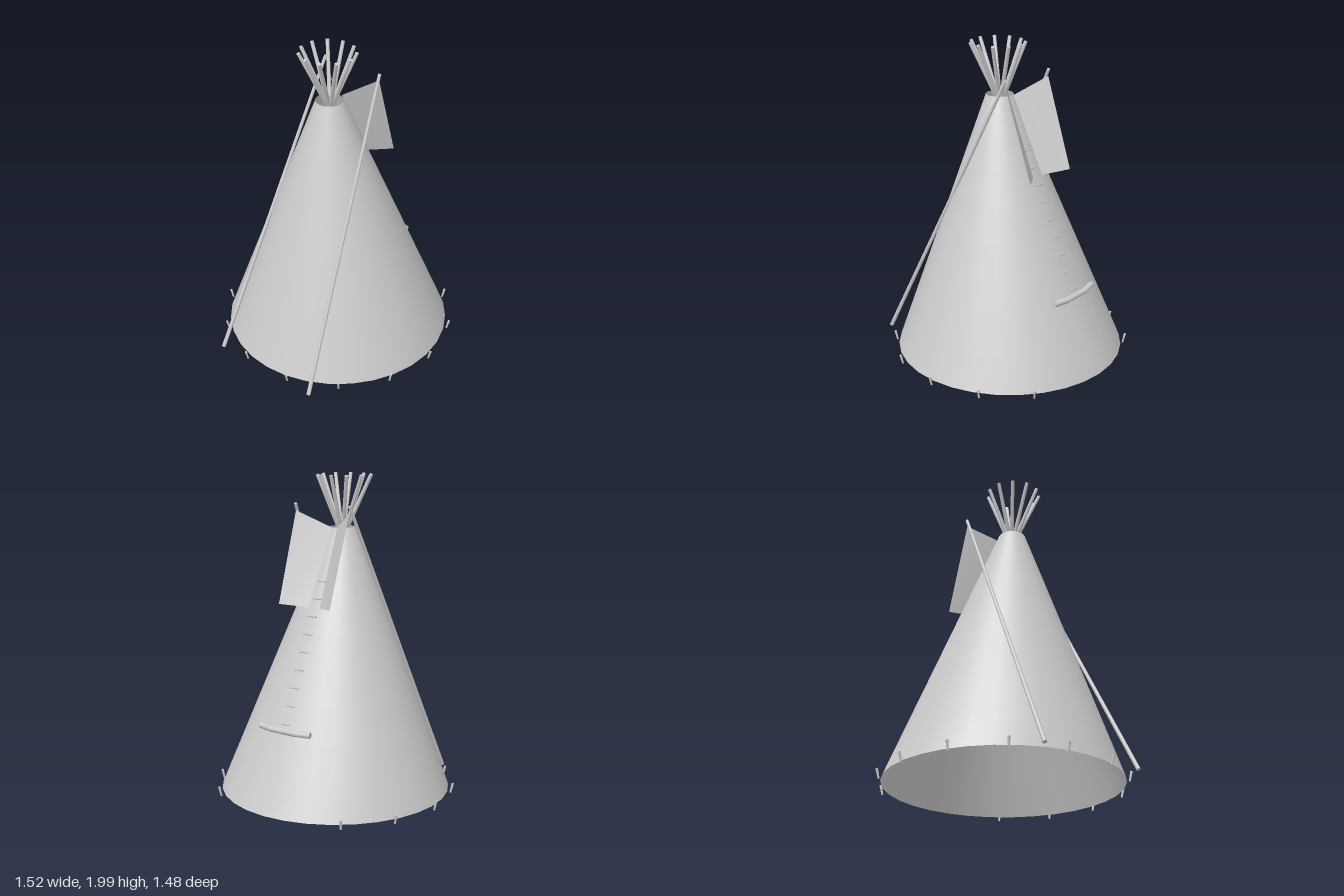
import * as THREE from 'three';
import { mergeVertices } from 'three/addons/utils/BufferGeometryUtils.js';

const grey = new THREE.MeshStandardMaterial({ color: 0xcccccc });
const cloth = new THREE.MeshStandardMaterial({ color: 0xcccccc, side: THREE.DoubleSide });

// Leaning cone of the cover
const Y0 = 0.025, Y1 = 1.67, R0 = 0.725, R1 = 0.085, Z0 = -0.015, Z1 = 0.067;
const coneAt = (y) => {
  const t = (y - Y0) / (Y1 - Y0);
  return { r: R0 + (R1 - R0) * t, z: Z0 + (Z1 - Z0) * t };
};
// z of the back of the cover at a given x and height
const backZ = (x, y) => {
  const { r, z } = coneAt(y);
  return z - Math.sqrt(r * r - x * x);
};

const v = (x, y, z) => new THREE.Vector3(x, y, z);

function add(parent, name, geometry, material = grey) {
  const mesh = new THREE.Mesh(geometry, material);
  mesh.name = name;
  parent.add(mesh);
  return mesh;
}

// Straight round stick between two points
function stick(parent, name, a, b, rTop, rBottom = rTop, sides = 8) {
  const mesh = add(parent, name, new THREE.CylinderGeometry(rTop, rBottom, a.distanceTo(b), sides));
  mesh.position.copy(a).lerp(b, 0.5);
  mesh.quaternion.setFromUnitVectors(v(0, 1, 0), b.clone().sub(a).normalize());
  return mesh;
}

function coverGeometry() {
  const g = new THREE.CylinderGeometry(R1, R0, Y1 - Y0, 32, 8, true);
  g.translate(0, (Y0 + Y1) / 2, 0);
  const p = g.attributes.position;
  for (let i = 0; i < p.count; i++) p.setZ(i, p.getZ(i) + coneAt(p.getY(i)).z);
  g.deleteAttribute('uv');
  g.deleteAttribute('normal');
  const merged = mergeVertices(g);
  merged.computeVertexNormals();
  return merged;
}

// Oval laid onto the back of the cover
function doorGeometry() {
  const g = new THREE.RingGeometry(0.001, 1, 32, 6);
  const p = g.attributes.position;
  for (let i = 0; i < p.count; i++) {
    const x = -p.getX(i) * 0.15, y = 0.27 + p.getY(i) * 0.235;
    p.setXYZ(i, x, y, backZ(x, y) - 0.006);
  }
  g.computeVertexNormals();
  return g;
}

function flapGeometry(s) {
  const g = new THREE.BufferGeometry().setFromPoints([
    v(s * 0.02, 1.67, -0.025), v(s * 0.2, 1.775, -0.15),
    v(s * 0.192, 1.22, -0.335), v(s * 0.042, 1.2, -0.235),
  ]);
  g.setIndex(s > 0 ? [0, 1, 2, 0, 2, 3] : [0, 2, 1, 0, 3, 2]);
  g.computeVertexNormals();
  return g;
}

export function createModel() {
  const model = new THREE.Group();
  model.name = 'tent';
  add(model, 'cover', coverGeometry(), cloth);
  add(model, 'door', doorGeometry(), cloth);

  // Pole tips fanning out of the smoke hole
  const poles = new THREE.Group();
  poles.name = 'poles';
  model.add(poles);
  for (let i = 0; i < 11; i++) {
    const a = (i / 11) * Math.PI * 2 + 0.03;
    const tip = v(Math.cos(a) * 0.17, 1.99, 0.083 + Math.sin(a) * 0.17);
    stick(poles, 'pole', v(0, 1.6, 0.062), tip, 0.011, 0.013);
  }

  // Smoke flaps and the long poles that hold them
  for (const s of [1, -1]) {
    const side = s > 0 ? 'left' : 'right';
    add(model, side + 'SmokeFlap', flapGeometry(s), cloth);
    stick(model, side + 'FlapPole', v(s * 0.358, 0.015, 0.73), v(s * 0.203, 1.818, -0.15), 0.01, 0.013);
  }

  // Lacing pins up the back seam
  const pins = new THREE.Group();
  pins.name = 'lacingPins';
  model.add(pins);
  for (let i = 0; i < 9; i++) {
    const y = 0.535 + i * 0.1025, z = backZ(0, y) - 0.004;
    stick(pins, 'lacingPin', v(-0.032, y, z), v(0.032, y, z), 0.005, 0.005, 6);
  }

  // Bent rod over the door
  const rod = new THREE.Group();
  rod.name = 'doorRod';
  model.add(rod);
  const bends = [[-0.188, -0.523], [-0.085, -0.547], [0.085, -0.547], [0.188, -0.523]].map(([x, z]) => v(x, 0.5, z));
  for (let i = 0; i < 3; i++) stick(rod, 'rodSection', bends[i], bends[i + 1], 0.019, 0.019, 10);
  for (const i of [1, 2]) add(rod, 'rodJoint', new THREE.SphereGeometry(0.019, 10, 8)).position.copy(bends[i]);

  // Pegs around the hem, with a gap at the door
  const pegs = new THREE.Group();
  pegs.name = 'pegs';
  model.add(pegs);
  for (let i = -3; i <= 8; i++) {
    const a = ((i - 2.5) / 14) * Math.PI * 2;
    const at = (r, y) => v(Math.sin(a) * r, y, Z0 + Math.cos(a) * r);
    stick(pegs, 'peg', at(0.741, 0.004), at(0.755, 0.065), 0.008, 0.006, 6);
  }
  return model;
}
